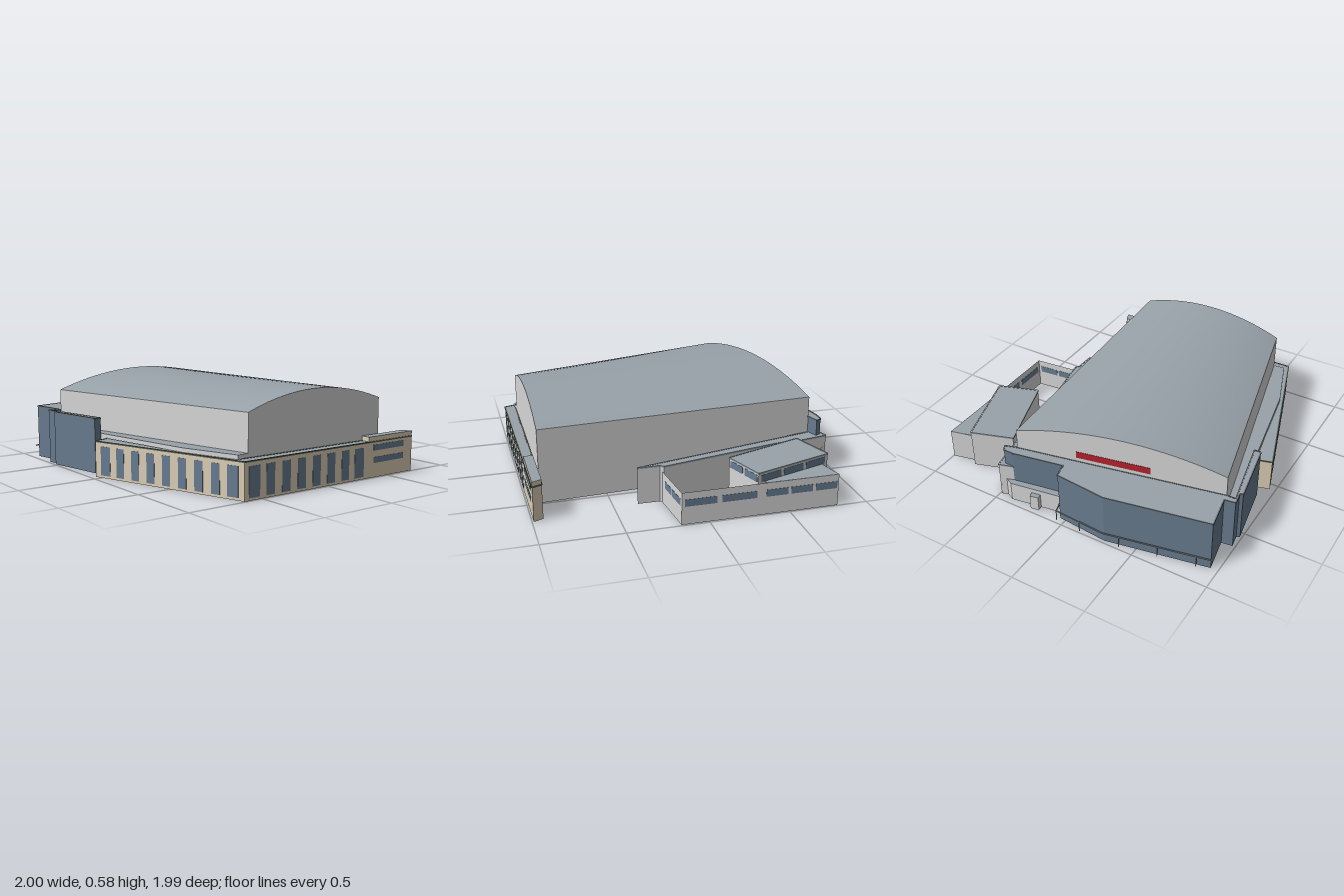
import * as THREE from 'three';

const mat = (name, color) => new THREE.MeshStandardMaterial({ name, color, side: THREE.DoubleSide });

export function createModel() {
  const root = new THREE.Group();
  const M = {
    roof: mat('roof grey', 0x98a2a9),
    wall: mat('pale wall', 0xd7d7d8),
    blue: mat('blue cladding', 0x687b8e),
    tan: mat('tan masonry', 0xdccfb7),
    glass: mat('window blue', 0x687d92),
    red: mat('sign red', 0xb4232e),
    trim: mat('slate coping', 0x687278),
    green: mat('green cornice', 0x5c6656),
  };
  const group = (name) => {
    const g = new THREE.Group();
    g.name = name;
    root.add(g);
    return g;
  };
  const add = (parent, name, geo, m) => {
    const mesh = new THREE.Mesh(geo, m);
    mesh.name = name;
    parent.add(mesh);
    return mesh;
  };

  // Ruled surface between two curves, each t -> [x, y, z]
  const loft = (a, b, n) => {
    const pos = [], idx = [];
    for (let i = 0; i <= n; i++) pos.push(...a(i / n), ...b(i / n));
    for (let i = 0; i < n; i++) {
      const k = 2 * i;
      idx.push(k, k + 2, k + 1, k + 1, k + 2, k + 3);
    }
    const g = new THREE.BufferGeometry();
    g.setAttribute('position', new THREE.Float32BufferAttribute(pos, 3));
    g.setIndex(idx);
    g.computeVertexNormals();
    return g;
  };
  const mix = (a, b, t) => a + (b - a) * t;
  const level = (p, q, y) => (t) => [mix(p[0], q[0], t), y, mix(p[1], q[1], t)];

  // Upright walls along a plan path of [x, z] points
  const walls = (parent, name, pts, closed, y0, y1, m) => {
    const n = closed ? pts.length : pts.length - 1;
    for (let i = 0; i < n; i++) {
      const p = pts[i], q = pts[(i + 1) % pts.length];
      add(parent, name, loft(level(p, q, y0), level(p, q, y1), 1), m);
    }
  };
  // Flat deck over a plan outline
  const deck = (parent, name, pts, y) => {
    const s = new THREE.Shape(pts.map(([x, z]) => new THREE.Vector2(x, -z)));
    add(parent, name, new THREE.ShapeGeometry(s).rotateX(-Math.PI / 2), M.roof).position.y = y;
  };
  // Straight bar or thin plate on the plan line p-q, between fractions t0 and t1
  const bar = (parent, name, p, q, t0, t1, y0, y1, thick, m) => {
    const dx = q[0] - p[0], dz = q[1] - p[1];
    const geo = new THREE.BoxGeometry(Math.hypot(dx, dz) * (t1 - t0), y1 - y0, thick);
    const mesh = add(parent, name, geo, m);
    const t = (t0 + t1) / 2;
    mesh.position.set(p[0] + dx * t, (y0 + y1) / 2, p[1] + dz * t);
    mesh.rotation.y = Math.atan2(-dz, dx);
  };
  const pane = (parent, name, p, q, t0, t1, y0, y1) => bar(parent, name, p, q, t0, t1, y0, y1, 0.003, M.glass);
  // Walled block with a flat roof and a slim coping of height rim around it
  const block = (name, pts, y0, y1, m, rim = 0, rimMat = M.roof) => {
    const g = group(name);
    walls(g, name + ' wall', pts, true, y0, y1, m);
    deck(g, name + ' roof', pts, y1);
    if (rim) pts.forEach((p, i) => bar(g, name + ' coping', p, pts[(i + 1) % pts.length], 0, 1, y1 - rim, y1 + 0.002, 0.008, rimMat));
    return g;
  };

  // Main hall with arched roof
  const NW = [-0.86, -0.40], SW = [-0.60, 0.91], NE = [0.92, -0.49], SE = [0.92, 0.54];
  const hall = group('main hall');
  const arc = (p, q) => (t) => [mix(p[0], q[0], t), 0.48 + 0.097 * (1 - (2 * t - 1) ** 2), mix(p[1], q[1], t)];
  add(hall, 'arched roof', loft(arc(NW, SW), arc(NE, SE), 32), M.roof);
  add(hall, 'west gable', loft(level(NW, SW, 0.34), arc(NW, SW), 32), M.wall);
  add(hall, 'east gable', loft(arc(NE, SE), level(NE, SE, 0), 32), M.wall);
  walls(hall, 'north wall', [NW, NE], false, 0, 0.48, M.wall);
  walls(hall, 'south wall', [SW, SE], false, 0, 0.48, M.wall);
  // Sign plate just outside the west gable
  bar(hall, 'red sign', [-0.862, -0.40], [-0.602, 0.91], 0.295, 0.65, 0.376, 0.422, 0.002, M.red);

  // Low ledge along the south side
  block('south ledge', [[-0.60, 0.968], [-0.1, 0.865], [0.57, 0.74], [0.925, 0.615], SE, SW], 0, 0.25, M.wall);

  // Blue lobby on the west and south-west, sharing the lower hall wall
  block('lobby', [[-0.855, 0.952], [-0.64, 0.912], [-0.63, 0.982], [-0.55, 0.968], [-0.54, 0.988], [-0.14, 0.915],
    [-0.14, 0.872], [-0.60, 0.968], SW, NW, [-0.885, -0.48], [-0.92, -0.46],
    [-0.92, -0.39], [-0.86, -0.06], [-0.95, -0.04], [-0.98, 0.30]], 0, 0.347, M.blue, 0.008, M.trim);

  // Slim rail on posts around the lobby
  const rail = group('rail');
  const outer = [[-0.865, 0.97], [-0.998, 0.30], [-0.975, -0.05], [-0.90, -0.07]];
  for (let i = 0; i < 3; i++) bar(rail, 'rail bar', outer[i], outer[i + 1], 0, 1, 0.071, 0.079, 0.005, M.roof);
  const post = new THREE.CylinderGeometry(0.003, 0.003, 0.071, 8);
  for (const [i, t] of [[0, 0.15], [0, 0.5], [0, 0.85], [1, 0.5], [2, 0]]) {
    add(rail, 'rail post', post, M.roof)
      .position.set(mix(outer[i][0], outer[i + 1][0], t), 0.0355, mix(outer[i][1], outer[i + 1][1], t));
  }

  // Tan wing wrapping the south-east corner
  const A = [-0.05, 0.963], B = [0.993, 0.622], C = [0.99, -0.723];
  const wing = block('tan wing', [[-0.08, 0.86], A, B, C, [0.93, -0.70], [0.925, 0.61], [0.57, 0.735]],
    0, 0.224, M.tan, 0.006, M.green);
  block('raised wing end', [[0.93, -0.34], [0.99, -0.34], C, [0.93, -0.70]], 0.226, 0.255, M.tan);
  // End windows are a little wider than those between them
  for (let i = 0; i < 9; i++) {
    const t = (0.077 + i * 0.111) / 1.04, half = i % 8 ? 0.027 : 0.034;
    pane(wing, 'south window', A, B, t - half, t + half, 0.015, 0.195);
  }
  for (let i = 0; i < 8; i++) {
    const t = (0.07 + i * 0.1155) / 1.34, half = i % 7 ? 0.023 : 0.029;
    pane(wing, 'east window', B, C, t - half, t + half, 0.015, 0.195);
  }
  for (const y of [0.09, 0.167]) {
    pane(wing, 'east strip window', B, C, 1.0 / 1.34, 1.265 / 1.34, y, y + 0.037);
  }

  // Narrow strip building along the north side
  block('north strip', [[-0.95, -0.49], [-0.67, -0.54], [-0.66, -0.515], [0.19, -0.68], [0.21, -0.662],
    [0.35, -0.66], [-0.86, -0.41], [-0.92, -0.40]], 0, 0.24, M.wall, 0.008);

  // Tall annex block, turned at an angle
  const plan = [[-0.81, -0.82], [-0.30, -0.98], [-0.21, -0.72], [-0.72, -0.55]];
  const annex = block('annex block', plan, 0, 0.267, M.wall, 0.008);
  for (let i = 0; i < 3; i++) {
    pane(annex, 'annex north window', plan[0], plan[1], 0.04 + i * 0.32, 0.32 + i * 0.32, 0.205, 0.25);
  }
  for (const t of [0.04, 0.53]) pane(annex, 'annex east window', plan[1], plan[2], t, t + 0.43, 0.205, 0.25);

  // Open yard walls with a small roofed corner
  const yard = group('yard');
  const Y0 = [-0.81, -0.995], Y1 = [0.17, -0.99], Y2 = [0.20, -0.68];
  walls(yard, 'yard wall', [[-0.77, -0.83], Y0, Y1, Y2], false, 0, 0.205, M.wall);
  deck(yard, 'corner roof', [Y0, [-0.35, -0.992], [-0.34, -0.967], [-0.77, -0.832]], 0.205);
  for (const [t0, t1] of [[0.01, 0.15], [0.17, 0.31], [0.33, 0.47], [0.53, 0.75], [0.78, 0.98]]) {
    pane(yard, 'yard north window', Y0, Y1, t0, t1, 0.115, 0.16);
  }
  for (const [t0, t1] of [[0.06, 0.48], [0.52, 0.85]]) pane(yard, 'yard east window', Y1, Y2, t0, t1, 0.115, 0.16);

  // Low entry walls and small blocks at the north-west corner
  const entry = group('north-west entry');
  walls(entry, 'entry wall', [[-0.95, -0.48], [-0.89, -0.54], [-0.75, -0.56], [-0.72, -0.55]], false, 0, 0.17, M.wall);
  pane(entry, 'entry window', [-0.89, -0.54], [-0.75, -0.56], 0.3, 0.9, 0.1, 0.145);
  block('west strip', [[-0.96, -0.40], [-0.905, -0.05], [-0.865, -0.062], [-0.915, -0.39], [-0.925, -0.47]], 0, 0.13, M.wall);
  block('service box', [[-0.97, -0.25], [-0.93, -0.26], [-0.92, -0.20], [-0.96, -0.195]], 0, 0.10, M.wall);

  return root;
}
